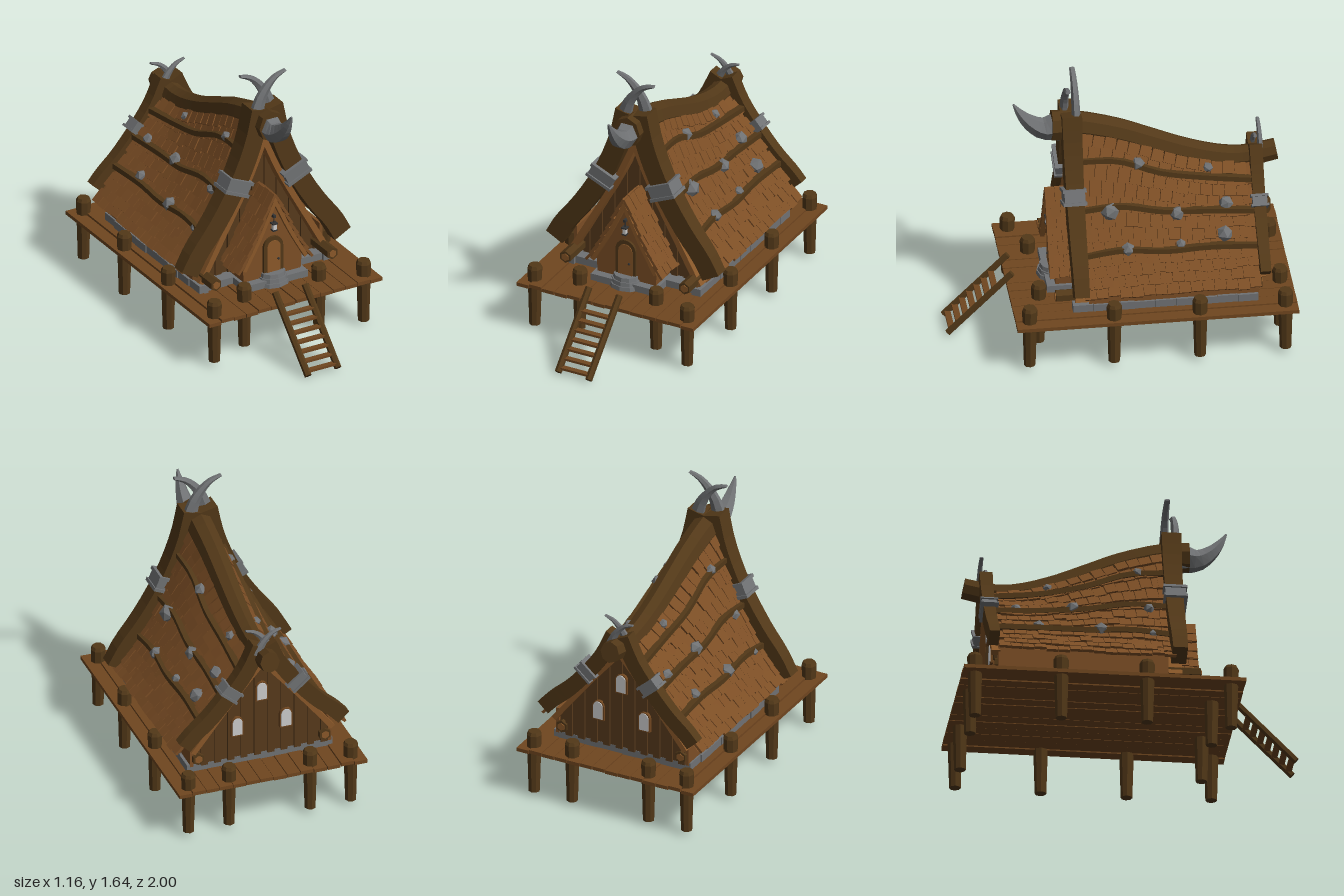
import * as THREE from 'three';
import { mergeGeometries } from 'three/addons/utils/BufferGeometryUtils.js';

const mat = (color) => new THREE.MeshStandardMaterial({ color, flatShading: true, side: THREE.DoubleSide });
const DARK = mat(0x523818), WALL = mat(0x573a1c), WOOD = mat(0x70461f), SHINGLE = mat(0x7c4e25);
const LIGHT = mat(0x8a5829), STONE = mat(0x707274), GLASS = mat(0xcccccc), IRON = mat(0x333333);
const V = (x, y, z) => new THREE.Vector3(x, y, z);
const X = V(1, 0, 0), Z = V(0, 0, 1);
const lerp = THREE.MathUtils.lerp;

let seed = 7;
const rnd = () => (seed = (seed * 16807) % 2147483647) / 2147483647;
const jit = (a) => (rnd() - 0.5) * 2 * a;

// Height of the ridge top along z, and the roof surface (t: 0 at eave, 1 at ridge)
const ridgeY = (z) => 1.1 + 0.33 * THREE.MathUtils.smoothstep(z, -0.75, 0.35) + 0.15 * Math.max(0, -0.75 - z);
const roofPoint = (t, z, s) => {
  const sag = 0.13 * THREE.MathUtils.clamp((z + 0.7) / 0.95, 0, 1);
  const f = t - sag * 4 * t * (1 - t);
  return V(s * (0.5 - 0.45 * t), 0.47 + (ridgeY(z) - 0.07 - 0.47) * f, z);
};
const porchPoint = (t, z, s) => V(s * 0.23 * (1 - t), 0.45 + 0.45 * (t - 0.16 * t * (1 - t)), z);

// Sweeps a polygon along a curve; side is the axis across the curve's plane
function sweep(pts, side, w, h, sides = 4, n = 14) {
  const curve = new THREE.CatmullRomCurve3(pts), pos = [], idx = [];
  const k = sides === 4 ? Math.SQRT2 : 1, ph = sides === 4 ? Math.PI / 4 : Math.PI / 2;
  for (let i = 0; i <= n; i++) {
    const t = i / n, c = curve.getPoint(t), nrm = side.clone().cross(curve.getTangent(t)).normalize();
    for (let j = 0; j < sides; j++) {
      const a = ph + (j / sides) * Math.PI * 2;
      const p = c.clone().addScaledVector(nrm, Math.cos(a) * h(t) * k).addScaledVector(side, Math.sin(a) * w(t) * k);
      pos.push(p.x, p.y, p.z);
      const b = i * sides + j, d = i * sides + ((j + 1) % sides);
      if (i < n) idx.push(b, d, d + sides, b, d + sides, b + sides);
    }
  }
  for (let j = 1; j < sides - 1; j++) idx.push(0, j + 1, j, n * sides, n * sides + j, n * sides + j + 1);
  const g = new THREE.BufferGeometry();
  g.setAttribute('position', new THREE.Float32BufferAttribute(pos, 3));
  g.setIndex(idx);
  g.computeVertexNormals();
  return g;
}
const box = (w, h, d, x, y, z) => new THREE.BoxGeometry(w, h, d).translate(x, y, z);
const extrude = (shape, depth, z) => new THREE.ExtrudeGeometry(shape, { depth, bevelEnabled: false, curveSegments: 8 }).translate(0, 0, z);
const poly = (pts) => new THREE.Shape(pts.map((p) => new THREE.Vector2(p[0], p[1])));
function arch(w, h, x, y) {
  const s = new THREE.Shape();
  s.moveTo(x - w, y);
  s.lineTo(x + w, y);
  s.lineTo(x + w, y + h - w);
  s.absarc(x, y + h - w, w, 0, Math.PI, false);
  return s;
}

// Staggered shingles over a surface function
function shingles(fn, s, rows, cols, z0, z1, len) {
  const out = [];
  for (let r = 0; r < rows; r++) for (let c = 0; c < cols; c++) {
    const w = (z1 - z0) / cols, t = (r + 0.5) / rows;
    const z = Math.min(z1 - w / 2, z0 + w * (c + 0.5 + (r % 2) * 0.5));
    const p = fn(t, z, s), up = fn(t + 0.02, z, s).sub(fn(t - 0.02, z, s));
    const dz = (fn(t, z + 0.02, s).y - fn(t, z - 0.02, s).y) / 0.04;
    const g = new THREE.BoxGeometry(0.016, len + jit(0.012), w * 0.96);
    g.rotateZ(Math.atan2(-up.x, up.y) + s * (0.12 + jit(0.03))).rotateX(-Math.atan(dz));
    out.push(g.translate(p.x + s * 0.008, p.y + 0.004 + jit(0.006), p.z));
  }
  return mergeGeometries(out);
}
// Solid sheet under the shingles
function sheet(fn, s, z0, z1) {
  const g = new THREE.PlaneGeometry(1, 1, 10, 14), p = g.attributes.position;
  for (let i = 0; i < p.count; i++) {
    const q = fn(p.getX(i) + 0.5, lerp(z0, z1, p.getY(i) + 0.5), s);
    p.setXYZ(i, q.x, q.y, q.z);
  }
  g.computeVertexNormals();
  return g;
}
// Gable wall of upright planks under a sloping line
function gable(line, z) {
  const top = (x) => {
    const a = Math.abs(x);
    let i = 0;
    while (i < line.length - 2 && a > line[i + 1][0]) i++;
    return lerp(line[i][1], line[i + 1][1], (a - line[i][0]) / (line[i + 1][0] - line[i][0])) + 0.02;
  };
  const out = [];
  for (let i = -10; i < 10; i++) {
    const x = i * 0.041, x2 = x + 0.041;
    out.push(extrude(poly([[x, 0.36], [x2, 0.36], [x2, top(x2)], [x, top(x)]]), 0.03, z + (i % 2 ? 0.012 : 0)));
  }
  return mergeGeometries(out);
}

export function createModel() {
  const root = new THREE.Group();
  const add = (name, geo, m) => {
    const o = new THREE.Mesh(geo, m);
    o.name = name;
    root.add(o);
    return o;
  };

  // Deck and stilts
  const planks = [];
  for (let i = 0; i < 14; i++) planks.push(box(0.079, 0.022, 1.64, -0.539 + i * 0.083, 0.313 + jit(0.005), -0.18));
  add('deckPlanks', mergeGeometries(planks), WOOD);
  const posts = [];
  for (const s of [1, -1]) for (const [x, z] of [[0.5, -0.93], [0.25, -0.93], [0.52, -0.43], [0.52, 0.07], [0.5, 0.56], [0.25, 0.475]]) {
    posts.push(new THREE.CylinderGeometry(0.045, 0.034, 0.37, 8).translate(s * x, 0.215, z));
    posts.push(new THREE.CylinderGeometry(0.035, 0.045, 0.02, 8).translate(s * x, 0.41, z));
  }
  add('stilts', mergeGeometries(posts), DARK);

  // Ladder
  for (const x of [-0.12, 0.08]) {
    add('ladderRail', new THREE.CylinderGeometry(0.021, 0.021, 0.53, 6).rotateX(-Math.PI / 4).translate(x, 0.205, 0.795), DARK);
  }
  const rungs = [];
  for (let i = 0; i < 7; i++) rungs.push(box(0.19, 0.014, 0.035, -0.02, 0.04 + i * 0.042, 0.96 - i * 0.042));
  add('ladderRungs', mergeGeometries(rungs), WOOD);

  // Stone base and steps
  const stones = [];
  for (let i = 0; i < 9; i++) for (const s of [1, -1]) stones.push(box(0.06, 0.05 + jit(0.006), 0.118, s * (0.42 + jit(0.006)), 0.348, -0.72 + i * 0.12));
  stones.push(box(0.84, 0.046, 1.06, 0, 0.345, -0.25), box(0.42, 0.046, 0.2, 0, 0.345, 0.32));
  for (let i = 0; i < 3; i++) {
    stones.push(new THREE.CylinderGeometry(0.1 - i * 0.012, 0.105 - i * 0.012, 0.026, 10).scale(1, 1, 0.8).translate(0, 0.338 + i * 0.025, 0.375));
  }
  add('stoneBase', mergeGeometries(stones), STONE);

  // Gable walls
  const frontLine = [[0, 1.21], [0.1, 0.98], [0.2, 0.79], [0.31, 0.59], [0.425, 0.38]];
  const backLine = [[0, 1.0], [0.12, 0.86], [0.25, 0.7], [0.43, 0.47]];
  add('frontWall', gable(frontLine, 0.17), WALL);
  add('backWall', gable(backLine, -0.79), WALL);
  for (const [x, y] of [[0, 0.74], [-0.15, 0.53], [0.15, 0.53]]) {
    add('windowFrame', extrude(arch(0.038, 0.125, x, y - 0.01), 0.02, -0.802), WOOD);
    add('window', extrude(arch(0.03, 0.11, x, y), 0.02, -0.808), GLASS);
  }

  // Beams of the two gables
  const frontBarge = [[0.045, 1.43], [0.085, 1.25], [0.155, 1.06], [0.235, 0.9], [0.345, 0.725], [0.45, 0.585], [0.513, 0.47]];
  const backBarge = [[0.03, 1.13], [0.1, 0.98], [0.2, 0.84], [0.33, 0.69], [0.43, 0.6], [0.49, 0.535]];
  for (const s of [1, -1]) {
    const at = (pts, z) => pts.map((p) => V(s * p[0], p[1], z));
    add('frontBargeBeam', sweep(at(frontBarge, 0.26), Z, (t) => lerp(0.058, 0.043, t), () => 0.06), DARK);
    add('backBargeBeam', sweep(at(backBarge, -0.815), Z, (t) => lerp(0.038, 0.03, t), () => 0.046), DARK);
    add('frontTrim', sweep(at(frontLine, 0.245), Z, () => 0.04, () => 0.018), LIGHT);
    add('backTrim', sweep(at(backLine, -0.8), Z, () => 0.025, () => 0.016), LIGHT);
    add('sillLog', new THREE.CylinderGeometry(0.038, 0.038, 1.2, 6).rotateX(Math.PI / 2).translate(s * 0.39, 0.415, -0.205), DARK);
    add('sillLogEnd', new THREE.CylinderGeometry(0.024, 0.024, 1.21, 6).rotateX(Math.PI / 2).translate(s * 0.39, 0.415, -0.205), LIGHT);
    add('sideWall', box(0.02, 0.16, 0.99, s * 0.425, 0.44, -0.29), SHINGLE);

    // Metal bands: a collar with two rims
    for (const [x, y, z, w, d, a] of [[0.195, 0.965, 0.265, 0.155, 0.12, 0.42], [0.205, 0.845, -0.815, 0.115, 0.085, 0.72]]) {
      const h = w * 0.5;
      const g = mergeGeometries([box(w, h, d, 0, 0, 0), box(w + 0.016, h * 0.25, d + 0.018, 0, h / 2, 0), box(w + 0.016, h * 0.25, d + 0.018, 0, -h / 2, 0)]);
      add('metalBand', g.rotateZ(s * a).translate(s * x, y, z), STONE);
    }

    // Roof covering and purlins
    add('roofSheet', sheet(roofPoint, s, -0.79, 0.24), SHINGLE);
    add('roofShingles', shingles(roofPoint, s, 12, 15, -0.79, 0.24, 0.1), SHINGLE);
    for (const t of [0.32, 0.6, 0.85]) {
      const pts = [0.24, 0, -0.25, -0.5, -0.79].map((z, i) => roofPoint(t + (i % 2 ? 0.012 : -0.008), z, s).add(V(s * 0.012, 0.012, 0)));
      add('purlin', sweep(pts, X, () => 0.02, () => 0.016), DARK);
    }

    // Crossed horns on each gable
    const horn = [[-0.055, 1.41], [-0.03, 1.49], [0.015, 1.56], [0.07, 1.61], [0.135, 1.635]];
    add('frontHorn', sweep(at(horn, 0.26 + s * 0.028), Z, (t) => lerp(0.027, 0.016, t), (t) => lerp(0.046, 0.008, t), 6, 8), STONE);
    const small = horn.map(([x, y]) => [x * 0.75, 1.225 + (y - 1.635) * 0.68]);
    add('backHorn', sweep(at(small, -0.825 + s * 0.019), Z, (t) => lerp(0.018, 0.011, t), (t) => lerp(0.032, 0.006, t), 6, 8), STONE);

    // Porch roof
    add('porchSheet', sheet(porchPoint, s, 0.18, 0.4), SHINGLE);
    add('porchShingles', shingles(porchPoint, s, 7, 4, 0.18, 0.41, 0.095), SHINGLE);
    add('porchTrim', sweep([0.99, 0.5, 0.05].map((t) => porchPoint(t, 0.395, s).add(V(-s * 0.012, -0.012, 0))), Z, () => 0.013, () => 0.012), LIGHT);
  }

  // Ridge beam and prow horn
  const ridge = [0.37, 0.25, 0, -0.2, -0.4, -0.6, -0.75, -0.94].map((z) => V(0, ridgeY(z) - lerp(0.06, 0.095, (z + 0.94) / 1.31), z));
  const hexSweep = sweep(ridge, X, (t) => lerp(0.085, 0.06, t), (t) => lerp(0.095, 0.065, t), 8, 20);
  add('ridgeBeam', hexSweep, DARK);
  const prow = [[1.325, 0.33], [1.32, 0.42], [1.37, 0.5], [1.435, 0.555], [1.495, 0.59]].map(([y, z]) => V(0, y, z));
  add('prowHorn', sweep(prow, X, (t) => lerp(0.08, 0.006, t), (t) => lerp(0.085, 0.006, t), 6, 10), STONE);

  // Studs on the roof: x, z, radius
  const studs = [[0.2, -0.62, 0.045], [0.31, -0.6, 0.05], [0.08, -0.53, 0.032], [0.24, -0.33, 0.045], [0.34, -0.34, 0.031], [0.11, -0.12, 0.041],
    [0.35, -0.03, 0.042], [0.24, 0.06, 0.056], [-0.21, -0.66, 0.04], [-0.33, -0.54, 0.037], [-0.08, -0.46, 0.03], [-0.22, -0.33, 0.046],
    [-0.35, -0.18, 0.045], [-0.11, 0.06, 0.035], [-0.24, 0.11, 0.034], [-0.36, 0.12, 0.028]];
  for (const [x, z, r] of studs) {
    const p = roofPoint((0.5 - Math.abs(x)) / 0.45, z, Math.sign(x));
    add('roofStud', new THREE.IcosahedronGeometry(r, 0).rotateY(x * 9).translate(p.x + Math.sign(x) * 0.012, p.y + 0.01, p.z), STONE);
  }

  // Porch front, door and lantern
  add('porchWall', extrude(poly([[-0.19, 0.36], [0.19, 0.36], [0.2, 0.49], [0, 0.87], [-0.2, 0.49]]), 0.19, 0.18), SHINGLE);
  add('doorFrame', extrude(arch(0.065, 0.25, 0, 0.375), 0.02, 0.365), DARK);
  add('door', extrude(arch(0.045, 0.22, 0, 0.38), 0.02, 0.37), LIGHT);
  add('doorKnob', new THREE.IcosahedronGeometry(0.008, 0).translate(0.028, 0.48, 0.395), IRON);
  add('lantern', mergeGeometries([
    box(0.006, 0.07, 0.006, 0, 0.735, 0.39), box(0.016, 0.016, 0.03, 0, 0.76, 0.385),
    box(0.034, 0.008, 0.034, 0, 0.715, 0.392), box(0.03, 0.008, 0.03, 0, 0.672, 0.392),
  ]), IRON);
  add('lanternGlass', box(0.022, 0.04, 0.022, 0, 0.693, 0.392), GLASS);
  return root;
}
